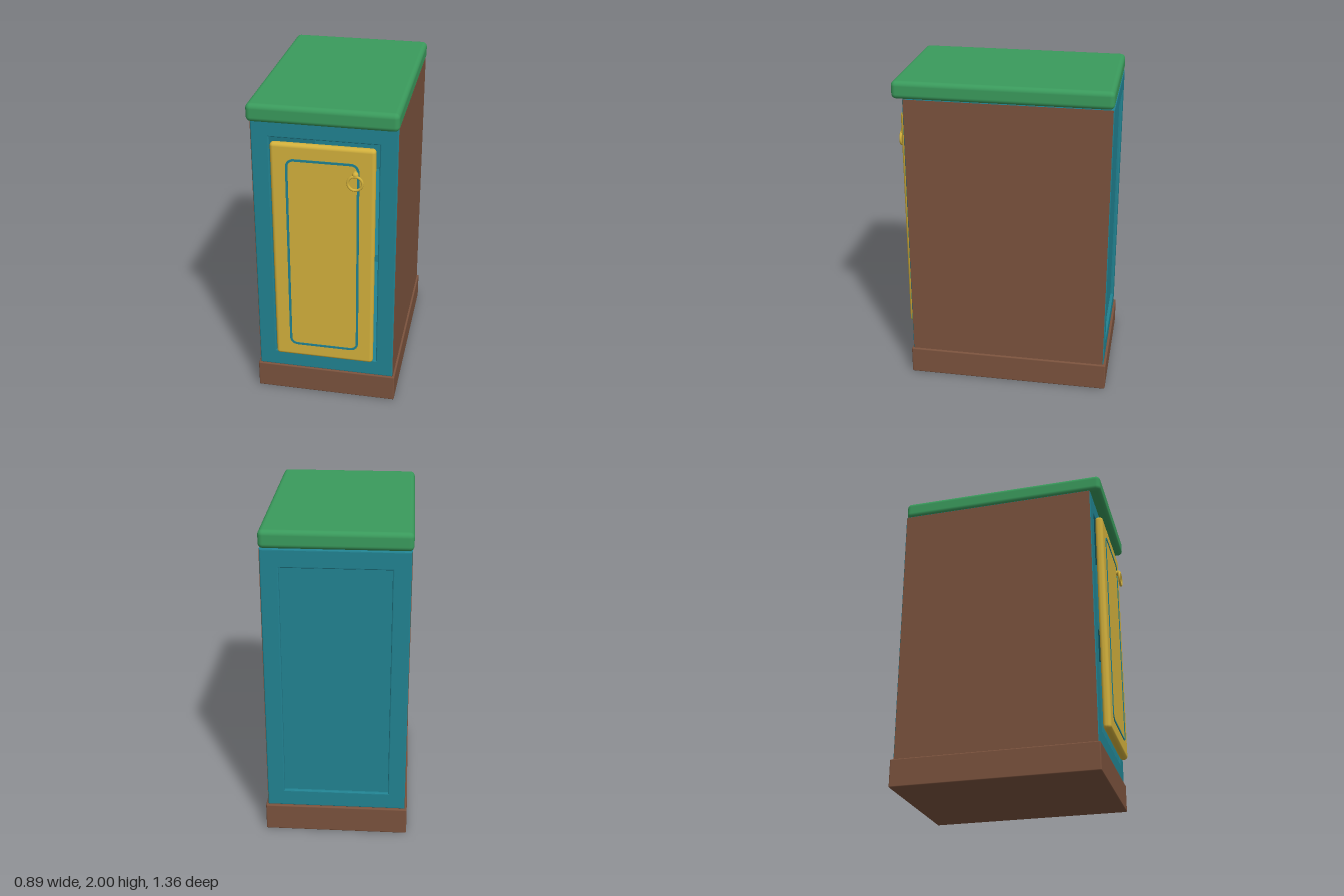
import * as THREE from 'three';
import { RoundedBoxGeometry } from 'three/addons/geometries/RoundedBoxGeometry.js';

const paint = (name, color) => {
  const m = new THREE.MeshStandardMaterial({ color });
  m.name = name;
  return m;
};

// Rectangle outline, centred on x, with optional rounded corners
function rectangle(Type, halfWidth, bottom, top, r = 0) {
  const p = new Type();
  const w = halfWidth;
  if (!r) {
    p.moveTo(-w, bottom).lineTo(w, bottom).lineTo(w, top).lineTo(-w, top).closePath();
    return p;
  }
  p.moveTo(-w + r, bottom).lineTo(w - r, bottom);
  p.absarc(w - r, bottom + r, r, -Math.PI / 2, 0);
  p.lineTo(w, top - r);
  p.absarc(w - r, top - r, r, 0, Math.PI / 2);
  p.lineTo(-w + r, top);
  p.absarc(-w + r, top - r, r, Math.PI / 2, Math.PI);
  p.lineTo(-w, bottom + r);
  p.absarc(-w + r, bottom + r, r, Math.PI, Math.PI * 1.5);
  return p;
}

export function createModel() {
  const green = paint('green top paint', 0x3a9a5c);
  const brown = paint('brown wood', 0x7a523d);
  const teal = paint('teal paint', 0x218291);
  const yellow = paint('yellow paint', 0xd2b03c);
  const model = new THREE.Group();
  model.name = 'cabinet';

  const add = (name, geometry, material, x = 0, y = 0, z = 0, parent = model) => {
    const mesh = new THREE.Mesh(geometry, material);
    mesh.name = name;
    mesh.position.set(x, y, z);
    parent.add(mesh);
    return mesh;
  };
  // Rounded block given by its limits in y and z
  const block = (name, mat, width, y0, y1, z0, z1, r, parent) =>
    add(name, new RoundedBoxGeometry(width, y1 - y0, z1 - z0, 4, r), mat,
      0, (y0 + y1) / 2, (z0 + z1) / 2, parent);

  // Plinth and worktop
  block('plinth', brown, 0.894, 0, 0.177, -0.68, 0.605, 0.008);
  block('worktop', green, 0.884, 1.89, 2, -0.665, 0.662, 0.03);

  // Carcass: a tube open to front and back, with softened rims
  const bevel = 0.008;
  const outline = rectangle(THREE.Shape, 0.433 - bevel, 0.175 + bevel, 1.893 - bevel);
  outline.holes.push(rectangle(THREE.Path, 0.325 + bevel, 0.285 - bevel, 1.78 + bevel));
  add('carcass', new THREE.ExtrudeGeometry(outline, {
    depth: 1.26 - 2 * bevel, bevelSize: bevel, bevelThickness: bevel, bevelSegments: 3,
  }), teal, 0, 0, -0.665 + bevel);

  // Recessed back and inner shelf
  add('backPanel', new THREE.BoxGeometry(0.67, 1.52, 0.02), teal, 0, 1.0325, -0.636);
  add('shelf', new THREE.BoxGeometry(0.66, 0.03, 1.2), teal, 0, 1.035, -0.03);

  // Brown side panels
  for (const s of [-1, 1]) {
    add(s > 0 ? 'leftSidePanel' : 'rightSidePanel',
      new THREE.BoxGeometry(0.006, 1.713, 1.25), brown, s * 0.432, 1.034, -0.035);
  }

  // Door with a rounded rectangular moulding
  const door = new THREE.Group();
  door.name = 'door';
  model.add(door);
  block('doorPanel', yellow, 0.62, 0.3, 1.768, 0.597, 0.647, 0.022, door);
  const moulding = rectangle(THREE.Shape, 0.218, 0.388, 1.677, 0.05);
  moulding.holes.push(rectangle(THREE.Path, 0.204, 0.402, 1.663, 0.036));
  add('doorMoulding', new THREE.ExtrudeGeometry(moulding, {
    depth: 0.006, bevelEnabled: false, curveSegments: 8,
  }), teal, 0, 0, 0.645, door);

  // Handle: stem, knob and hanging ring
  const handle = new THREE.Group();
  handle.name = 'handle';
  handle.position.set(0.197, 1.615, 0);
  model.add(handle);
  const stem = add('handleStem', new THREE.CylinderGeometry(0.012, 0.02, 0.026, 16), yellow, 0, 0, 0.655, handle);
  stem.rotation.x = Math.PI / 2;
  add('handleKnob', new THREE.SphereGeometry(0.019, 16, 12), yellow, 0, 0, 0.661, handle);
  add('handleRing', new THREE.TorusGeometry(0.043, 0.008, 10, 32), yellow, 0, -0.049, 0.672, handle);

  return model;
}
